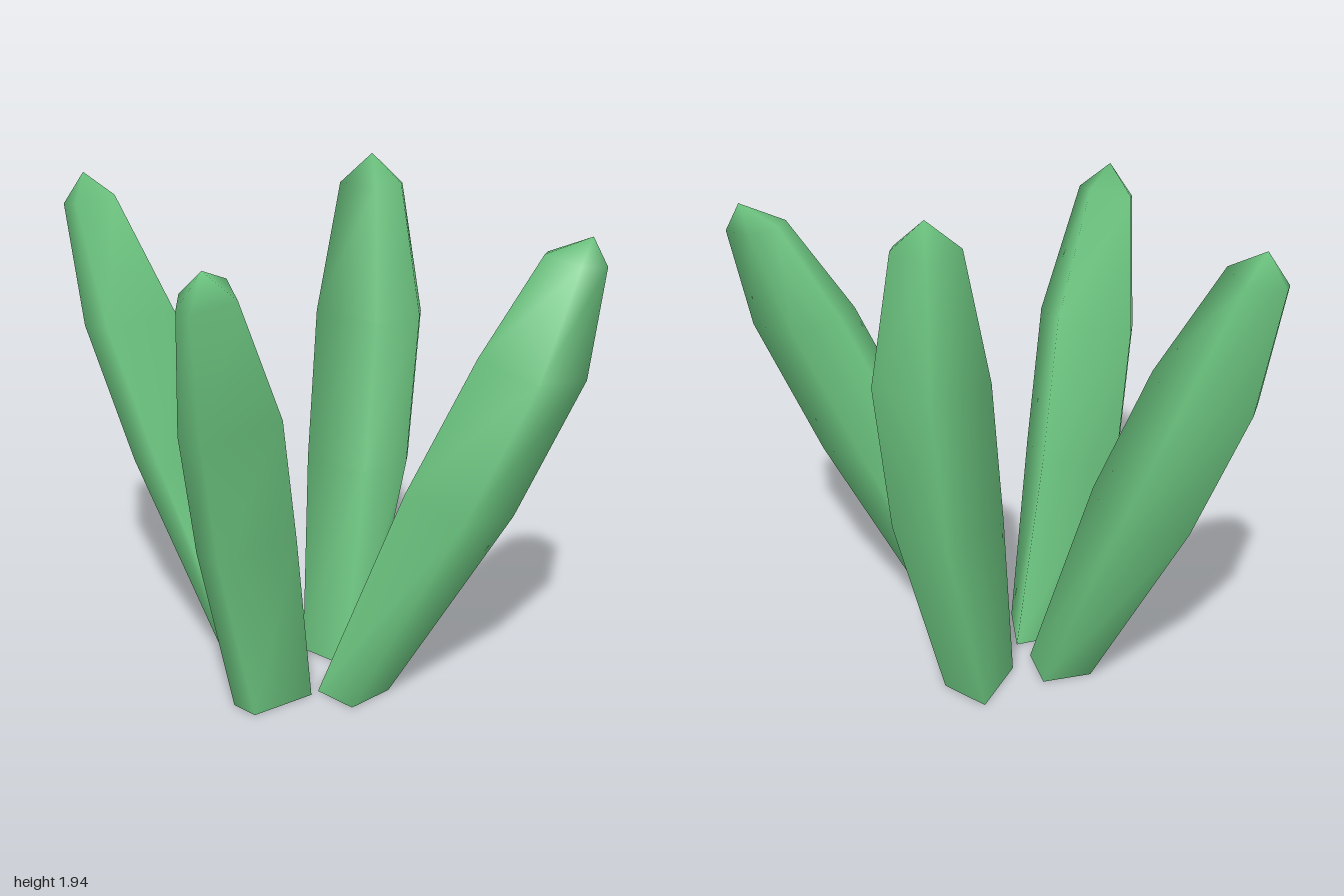
import * as THREE from 'three';

// Each leaf: base outline [x, z], corner angles (degrees from +x towards +z),
// rings [x, y, z, radius], tip, and slope of the rings [dy/dx, dy/dz]
const LEAVES = [
  {
    name: 'rightLeaf',
    base: [[-0.04, -0.10], [-0.13, 0.07], [-0.25, 0.04], [-0.30, -0.04], [-0.20, -0.20]],
    angles: [-13, 77, 140, 167, 257],
    rings: [[-0.51, 0.79, -0.02, 0.195], [-0.73, 1.31, 0.02, 0.19], [-0.90, 1.76, 0.06, 0.107]],
    tip: [-0.93, 1.86, 0.07], slope: [0.22, -0.04],
  },
  {
    name: 'frontLeaf',
    base: [[0.22, 0.07], [0.16, 0.33], [0.05, 0.32], [-0.05, 0.10], [0.05, -0.08]],
    angles: [-10, 80, 115, 170, 260],
    rings: [[0.08, 0.705, 0.27, 0.203], [0.145, 1.21, 0.425, 0.203], [0.215, 1.67, 0.615, 0.115]],
    tip: [0.23, 1.77, 0.66], slope: [-0.03, -0.33],
  },
  {
    name: 'backLeaf',
    base: [[0.17, -0.20], [-0.05, -0.21], [-0.14, -0.46], [0.06, -0.47], [0.17, -0.33]],
    angles: [45, 135, 225, 315, 340],
    rings: [[-0.02, 0.75, -0.51, 0.2], [-0.035, 1.33, -0.585, 0.205], [-0.05, 1.83, -0.605, 0.12]],
    tip: [-0.06, 1.94, -0.62], slope: [0, 0.03],
  },
  {
    name: 'leftLeaf',
    base: [[0.40, 0.05], [0.22, 0.03], [0.18, -0.06], [0.23, -0.17], [0.42, -0.15]],
    angles: [51, 141, 175, 231, 321],
    rings: [[0.635, 0.78, -0.265, 0.2], [0.82, 1.30, -0.42, 0.195], [0.89, 1.68, -0.56, 0.112]],
    tip: [0.93, 1.765, -0.60], slope: [-0.15, 0.13],
  },
];

function leafGeometry({ base, angles, rings, tip, slope }) {
  const n = base.length;
  const positions = [];
  const index = [];

  // Base outline, then the tilted rings above it
  base.forEach(([x, z]) => positions.push(x, 0, z));
  for (const [cx, cy, cz, r] of rings) {
    for (const a of angles) {
      const dx = r * Math.cos(a * Math.PI / 180);
      const dz = r * Math.sin(a * Math.PI / 180);
      positions.push(cx + dx, cy + slope[0] * dx + slope[1] * dz, cz + dz);
    }
  }

  // Sides
  for (let i = 0; i < rings.length; i++) {
    for (let j = 0; j < n; j++) {
      const a = i * n + j;
      const b = i * n + (j + 1) % n;
      index.push(a, a + n, b, b, a + n, b + n);
    }
  }

  // Pointed tip
  const top = rings.length * n;
  const apex = positions.length / 3;
  positions.push(...tip);
  for (let j = 0; j < n; j++) index.push(top + j, apex, top + (j + 1) % n);

  // Flat underside with its own corners, so its rim stays sharp
  const cap = positions.length / 3;
  base.forEach(([x, z]) => positions.push(x, 0, z));
  for (let j = 1; j < n - 1; j++) index.push(cap, cap + j, cap + j + 1);

  const geometry = new THREE.BufferGeometry();
  geometry.setAttribute('position', new THREE.Float32BufferAttribute(positions, 3));
  geometry.setIndex(index);
  geometry.computeVertexNormals();
  return geometry;
}

export function createModel() {
  const group = new THREE.Group();
  group.name = 'leafCluster';
  const green = new THREE.MeshStandardMaterial({ color: 0x6cc580 });
  green.name = 'leaf green';

  for (const leaf of LEAVES) {
    const mesh = new THREE.Mesh(leafGeometry(leaf), green);
    mesh.name = leaf.name;
    group.add(mesh);
  }
  return group;
}
